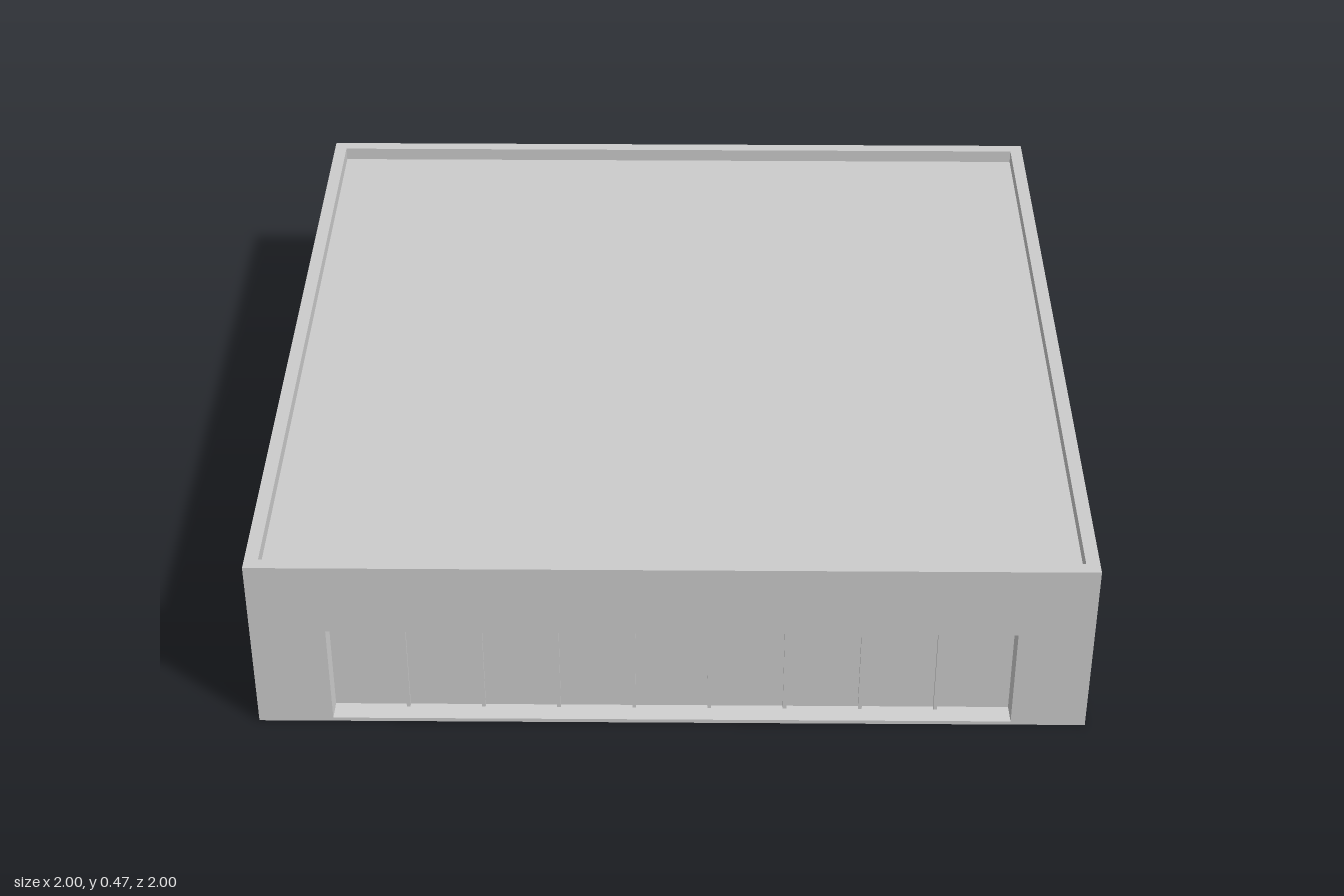
import * as THREE from 'three';

const material = new THREE.MeshStandardMaterial({ color: 0xcccccc, side: THREE.DoubleSide, flatShading: true });

const ROOF = 0.435, TOP = 0.47, CEILING = 0.3;
const PANES = 9, RECESS = 0.03;
const OUTER = { x: 0.82, y0: 0.01, y1: 0.28 };   // opening on the wall face
const INNER = { x: 0.815, y0: 0.03, y1: 0.265 }; // opening at the glass

function part(name, geometry, parent) {
  const mesh = new THREE.Mesh(geometry, material);
  mesh.name = name;
  parent.add(mesh);
  return mesh;
}

// Counter-clockwise corners of a rectangle
function corners(x, y0, y1) {
  return [[-x, y0], [x, y0], [x, y1], [-x, y1]].map(p => new THREE.Vector2(...p));
}

// Four sloping faces joining the wall opening to the glass
function revealGeometry() {
  const o = corners(OUTER.x, OUTER.y0, OUTER.y1);
  const i = corners(INNER.x, INNER.y0, INNER.y1);
  const pos = [];
  const put = (p, z) => pos.push(p.x, p.y, z);
  for (let a = 0; a < 4; a++) {
    const b = (a + 1) % 4;
    put(o[a], 1); put(o[b], 1); put(i[b], 1 - RECESS);
    put(o[a], 1); put(i[b], 1 - RECESS); put(i[a], 1 - RECESS);
  }
  const g = new THREE.BufferGeometry();
  g.setAttribute('position', new THREE.Float32BufferAttribute(pos, 3));
  g.computeVertexNormals();
  return g;
}

// One side of the building, facing +z
function createFacade() {
  const facade = new THREE.Group();

  const wall = new THREE.Shape(corners(1, 0, ROOF));
  wall.holes.push(new THREE.Path(corners(OUTER.x, OUTER.y0, OUTER.y1)));
  part('wall', new THREE.ShapeGeometry(wall), facade).position.z = 1;

  part('windowReveal', revealGeometry(), facade);

  const height = INNER.y1 - INNER.y0;
  const midY = (INNER.y0 + INNER.y1) / 2;
  const glass = part('windowGlass', new THREE.PlaneGeometry(2 * INNER.x, height), facade);
  glass.position.set(0, midY, 1 - RECESS);

  // Mullions between the panes
  const bar = new THREE.BoxGeometry(0.009, height, 0.02);
  for (let k = 1; k < PANES; k++) {
    const x = (k / PANES - 0.5) * 2 * OUTER.x;
    part('mullion', bar, facade).position.set(x, midY, 1 - RECESS);
  }
  return facade;
}

export function createModel() {
  const model = new THREE.Group();
  model.name = 'building';

  // Four identical sides
  ['front', 'left', 'back', 'right'].forEach((side, k) => {
    const facade = createFacade();
    facade.name = side + 'Facade';
    facade.rotation.y = k * Math.PI / 2;
    model.add(facade);
  });

  // Raised rim around the roof
  const rim = new THREE.Shape(corners(1, -1, 1));
  rim.holes.push(new THREE.Path(corners(0.967, -0.967, 0.967)));
  const parapet = part('parapet', new THREE.ExtrudeGeometry(rim, { depth: TOP - ROOF, bevelEnabled: false }), model);
  parapet.rotation.x = -Math.PI / 2;
  parapet.position.y = ROOF;

  const roof = part('roof', new THREE.PlaneGeometry(1.934, 1.934), model);
  roof.rotation.x = -Math.PI / 2;
  roof.position.y = ROOF;

  // Underside seen through the open bottom
  const ceiling = part('ceiling', new THREE.PlaneGeometry(2, 2), model);
  ceiling.rotation.x = Math.PI / 2;
  ceiling.position.y = CEILING;

  return model;
}
